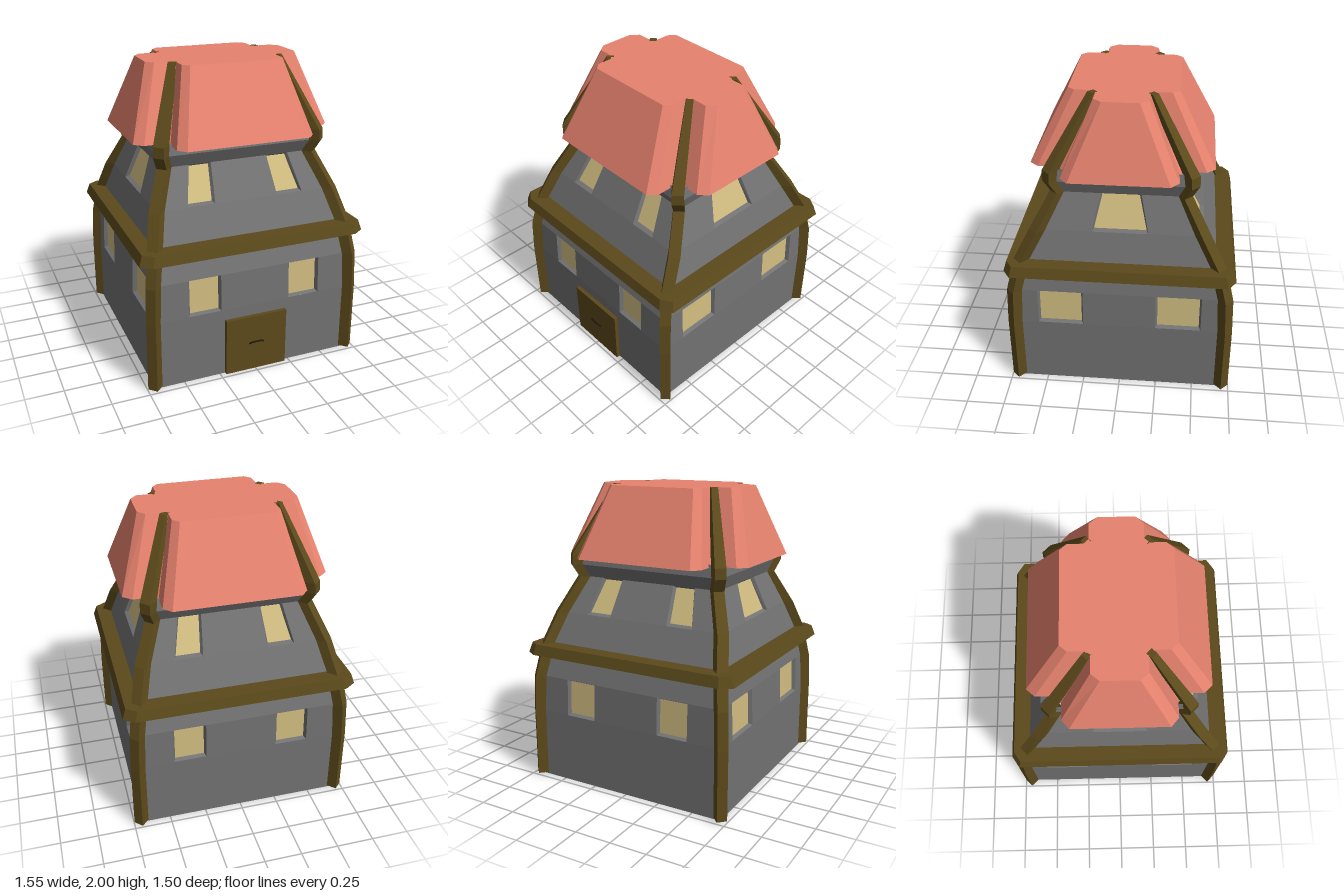
import * as THREE from 'three';

const mat = (color) => new THREE.MeshStandardMaterial({ color, flatShading: true });
const stone = mat(0x727272), wood = mat(0x5c4a1b), tile = mat(0xe6826e);
const glass = mat(0xd0bc80), iron = mat(0x1c1810);

function meshFrom(name, tris, material) {
  const g = new THREE.BufferGeometry();
  g.setAttribute('position', new THREE.Float32BufferAttribute(tris.flat(), 3));
  g.computeVertexNormals();
  const m = new THREE.Mesh(g, material);
  m.name = name;
  return m;
}

const quad = (out, a, b, c, d) => out.push(a, b, c, a, c, d);

// Skin a series of rings; optionally close both ends with fans
function loft(name, rings, material, capped = true) {
  const out = [], n = rings[0].length;
  for (let r = 0; r < rings.length - 1; r++) {
    for (let i = 0; i < n; i++) {
      const j = (i + 1) % n;
      quad(out, rings[r][i], rings[r][j], rings[r + 1][j], rings[r + 1][i]);
    }
  }
  if (capped) {
    const centre = (ring) => [0, 1, 2].map((k) => ring.reduce((s, p) => s + p[k], 0) / n);
    const bottom = rings[0], top = rings[rings.length - 1];
    const cb = centre(bottom), ct = centre(top);
    for (let i = 0; i < n; i++) {
      const j = (i + 1) % n;
      out.push(cb, bottom[j], bottom[i], ct, top[i], top[j]);
    }
  }
  return meshFrom(name, out, material);
}

// Mirror one quadrant outline [x, z] into a full ring at height y
function mirrorRing(q, y) {
  const rev = [...q].reverse();
  return [
    ...q.map(([x, z]) => [x, y, z]),
    ...rev.map(([x, z]) => [x, y, -z]),
    ...q.map(([x, z]) => [-x, y, -z]),
    ...rev.map(([x, z]) => [-x, y, z]),
  ];
}

// Wall levels: [y, half width, half depth]
const LEVELS = [
  [0, 0.7, 0.7], [0.475, 0.7, 0.7], [0.725, 0.69, 0.69], [0.95, 0.655, 0.62],
  [1.15, 0.605, 0.53], [1.385, 0.52, 0.4], [1.47, 0.55, 0.445], [1.55, 0.54, 0.43],
];

// Window openings per wall row: [bottom left, bottom right, top left, top right]
const LOWER_ROW = 1, UPPER_ROW = 4;
const FRONT = {
  [LOWER_ROW]: [[-0.46, -0.24, -0.46, -0.24], [0.24, 0.46, 0.24, 0.46]],
  [UPPER_ROW]: [[-0.4, -0.215, -0.35, -0.195], [0.215, 0.4, 0.195, 0.35]],
};
const SIDE = {
  [LOWER_ROW]: [[-0.54, -0.24, -0.54, -0.24], [0.24, 0.54, 0.24, 0.54]],
  [UPPER_ROW]: [[-0.18, 0.18, -0.13, 0.13]],
};

function buildWalls(group) {
  const walls = [], panes = [];
  const turns = [
    (s, y, d) => [s, y, d], (s, y, d) => [d, y, -s],
    (s, y, d) => [-s, y, -d], (s, y, d) => [-d, y, s],
  ];
  turns.forEach((put, side) => {
    const isSide = side % 2 === 1, openings = isSide ? SIDE : FRONT;
    for (let r = 0; r < LEVELS.length - 1; r++) {
      const [y0, x0, z0] = LEVELS[r], [y1, x1, z1] = LEVELS[r + 1];
      const [w0, d0, w1, d1] = isSide ? [z0, x0, z1, x1] : [x0, z0, x1, z1];
      const cell = (bl, br, tl, tr) => [
        put(bl, y0, d0), put(br, y0, d0), put(tr, y1, d1), put(tl, y1, d1)];
      let left = [-w0, -w1];
      for (const [bl, br, tl, tr] of openings[r] || []) {
        quad(walls, ...cell(left[0], bl, left[1], tl));
        // Recess with a set-back pane
        const e = 0.012, k = 0.025, slope = (d1 - d0) / (y1 - y0);
        const lowD = d0 + slope * e - k, highD = d1 - slope * e - k;
        const outer = cell(bl, br, tl, tr);
        const inner = [
          put(bl + e, y0 + e, lowD), put(br - e, y0 + e, lowD),
          put(tr - e, y1 - e, highD), put(tl + e, y1 - e, highD)];
        for (let i = 0; i < 4; i++) {
          const j = (i + 1) % 4;
          quad(walls, outer[i], outer[j], inner[j], inner[i]);
        }
        quad(panes, ...inner);
        left = [br, tr];
      }
      quad(walls, ...cell(left[0], w0, left[1], w1));
    }
  });
  // Floor
  const [y, x, z] = LEVELS[0];
  quad(walls, [-x, y, -z], [x, y, -z], [x, y, z], [-x, y, z]);
  group.add(meshFrom('walls', walls, stone), meshFrom('windowPanes', panes, glass));
}

// Corner post path: [y, x, z, half diagonal]
const POST = [
  [0.01, 0.7, 0.7, 0.048], [0.475, 0.7, 0.7, 0.048], [0.725, 0.69, 0.69, 0.05],
  [0.95, 0.655, 0.635, 0.052], [1.15, 0.605, 0.53, 0.053], [1.385, 0.508, 0.4, 0.05],
  [1.47, 0.537, 0.44, 0.053], [1.54, 0.535, 0.438, 0.053], [2, 0.365, 0.185, 0.032],
];

export function createModel() {
  const group = new THREE.Group();
  group.name = 'house';
  buildWalls(group);

  // Corner posts
  for (const sx of [-1, 1]) {
    for (const sz of [-1, 1]) {
      const rings = POST.map(([y, x, z, h]) =>
        [[0, h], [h, 0], [0, -h], [-h, 0]].map(([a, b]) => [sx * x + a, y, sz * z + b]));
      group.add(loft('cornerPost', rings, wood));
    }
  }

  // Timber band between the floors, with cut corners
  const band = (x, z, y, c) => mirrorRing([[x - c * 1.5, z], [x, z - c]], y);
  group.add(loft('timberBand', [
    band(0.64, 0.61, 0.88, 0.005), band(0.775, 0.748, 0.88, 0.05),
    band(0.753, 0.728, 0.95, 0.045), band(0.64, 0.61, 0.95, 0.005),
  ], wood, false));

  // Flat-topped roof with notches for the posts
  const eaves = [[0.415, 0.585], [0.465, 0.53], [0.465, 0.41], [0.51, 0.365], [0.62, 0.365], [0.678, 0.315]];
  const crown = [[0.305, 0.345], [0.345, 0.3], [0.345, 0.2], [0.375, 0.168], [0.48, 0.168], [0.525, 0.115]];
  group.add(loft('roof', [mirrorRing(eaves, 1.53), mirrorRing(crown, 2)], tile));

  // Door and handle
  const door = new THREE.Mesh(new THREE.BoxGeometry(0.43, 0.395, 0.06), wood);
  door.name = 'door';
  door.position.set(0, 0.2025, 0.698);
  const path = new THREE.CatmullRomCurve3([
    [-0.05, 0.2, 0.725], [-0.035, 0.215, 0.74], [0.035, 0.215, 0.74], [0.05, 0.2, 0.725],
  ].map((p) => new THREE.Vector3(...p)));
  const handle = new THREE.Mesh(new THREE.TubeGeometry(path, 12, 0.006, 6), iron);
  handle.name = 'doorHandle';
  group.add(door, handle);
  return group;
}
